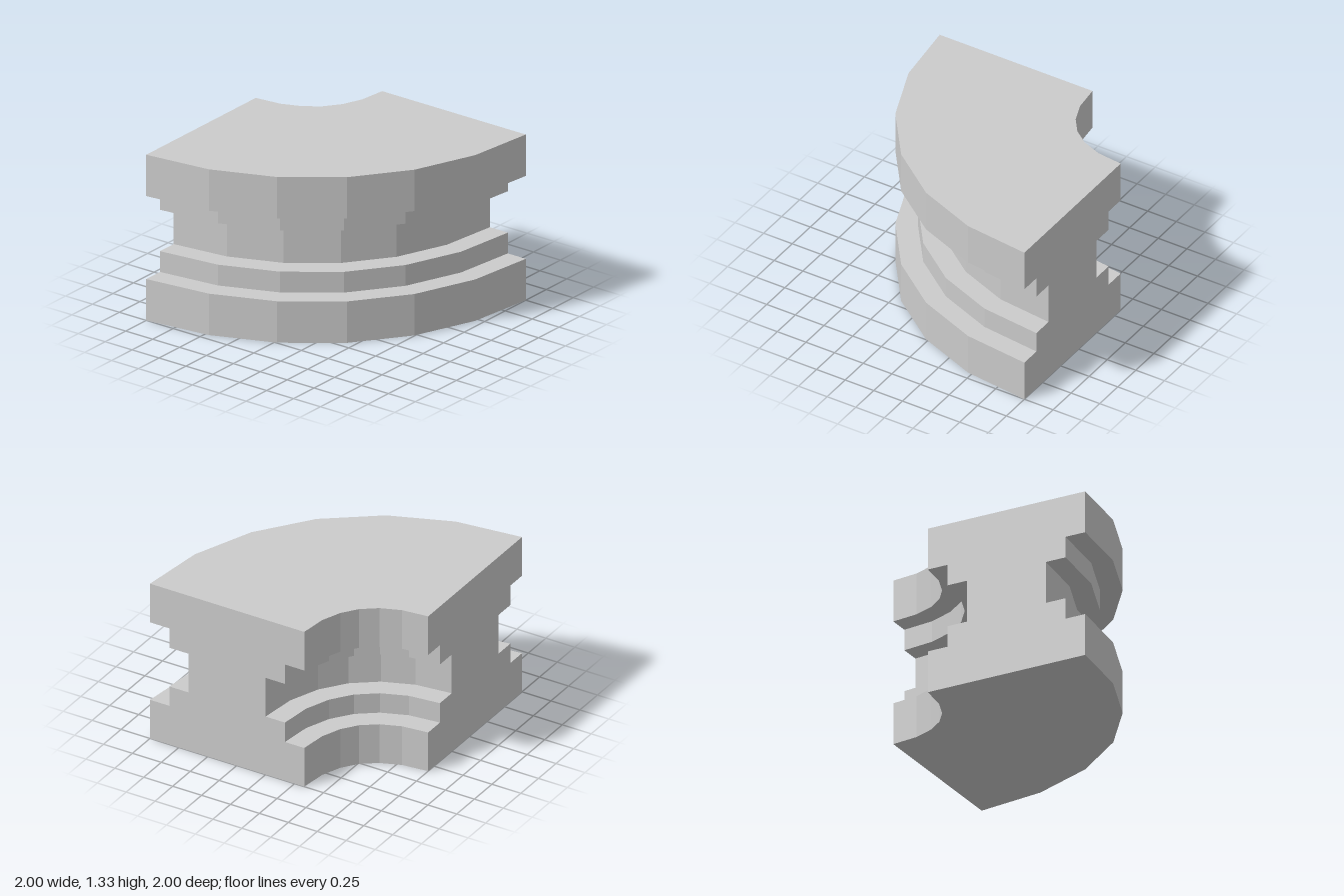
import * as THREE from 'three';

const STEPS = 6;        // facets along the quarter turn
const R = 4 / 3;        // radius of the centre line
const K = 0.59 * R;     // handle length of the centre line

export function createModel() {
  const group = new THREE.Group();

  // Stepped, waisted cross-section: half-width against height
  const side = [
    [0.667, 0], [0.667, 0.333], [0.5, 0.333], [0.5, 0.5], [0.333, 0.5],
    [0.333, 0.833], [0.5, 0.833], [0.5, 1], [0.667, 1], [0.667, 1.333],
  ];
  const mirrored = side.map(([u, y]) => [-u, y]).reverse();
  const section = new THREE.Shape([...side, ...mirrored].map(([u, y]) => new THREE.Vector2(u, y)));

  // Centre line in plan (x, z), bending around the back left corner
  const path = new THREE.CubicBezierCurve(
    new THREE.Vector2(1, -1 + R),
    new THREE.Vector2(1 - K, -1 + R),
    new THREE.Vector2(1 - R, -1 + K),
    new THREE.Vector2(1 - R, -1),
  );

  // Straight extrusion, then bent along the centre line
  const geometry = new THREE.ExtrudeGeometry(section, { depth: 1, steps: STEPS, bevelEnabled: false });
  const pos = geometry.attributes.position;
  for (let i = 0; i < pos.count; i++) {
    const u = pos.getX(i);
    const t = pos.getZ(i);
    const p = path.getPoint(t);
    const d = path.getTangent(t);
    // End faces stay exactly square to the axes
    if (t < 0.001) d.set(-1, 0);
    if (t > 0.999) d.set(0, -1);
    pos.setXYZ(i, p.x + d.y * u, pos.getY(i), p.y - d.x * u);
  }
  geometry.computeVertexNormals();

  const rail = new THREE.Mesh(
    geometry,
    new THREE.MeshStandardMaterial({ color: 0xcccccc, flatShading: true }),
  );
  rail.name = 'curvedSteppedBlock';
  group.add(rail);
  return group;
}
